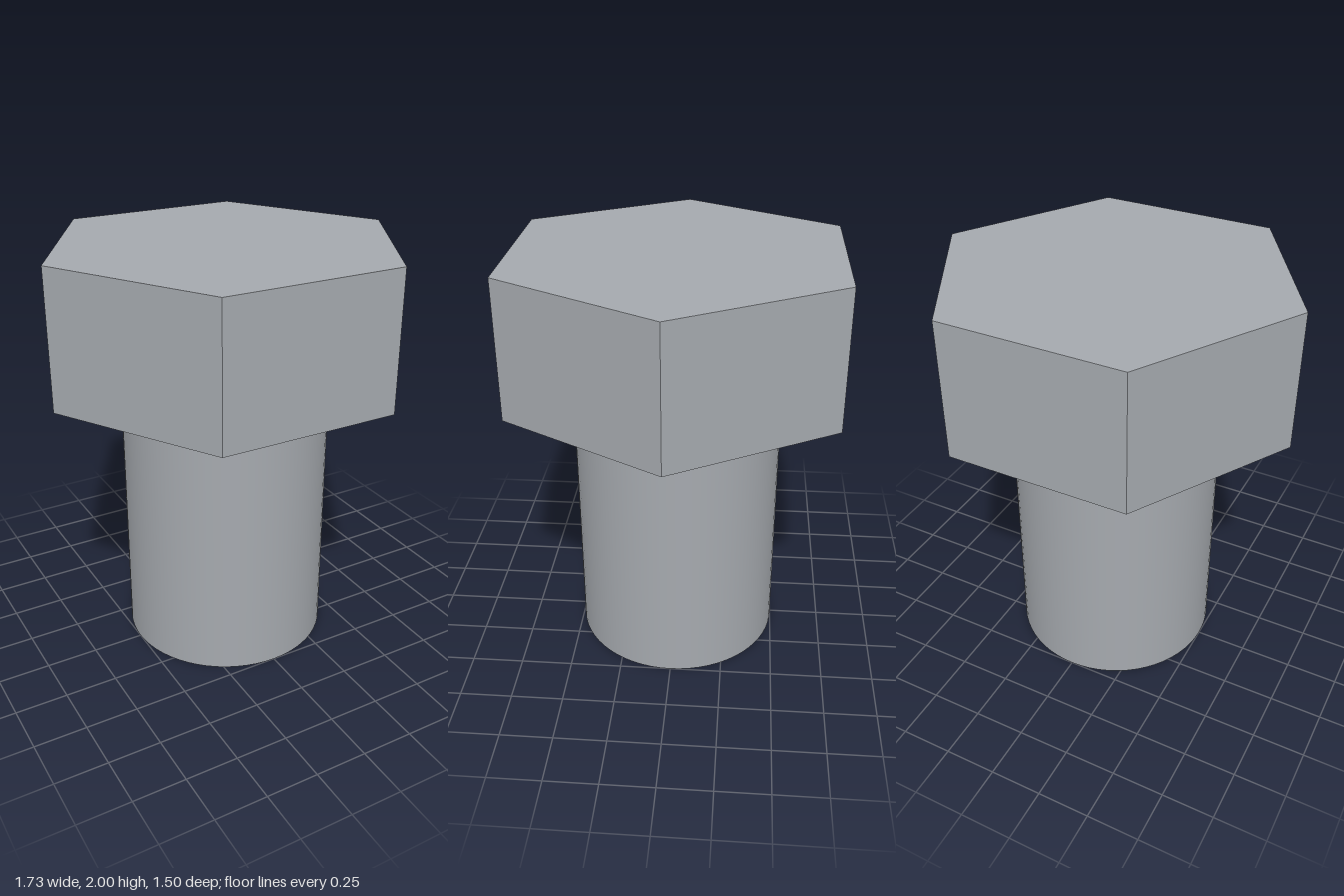
import * as THREE from 'three';

const HEAD_BOTTOM = 1.337;
const TOP = 2;

export function createModel() {
  const model = new THREE.Group();
  model.name = 'hexBolt';

  const steel = new THREE.MeshStandardMaterial({ color: 0xa5a9ae });
  steel.name = 'steel grey';

  // Hexagonal head: corners on the x axis, flats facing front and back
  const hex = new THREE.CylinderGeometry(0.866, 0.866, TOP - HEAD_BOTTOM, 6, 1, false, Math.PI / 6).toNonIndexed();
  hex.computeVertexNormals(); // crisp faces
  const head = new THREE.Mesh(hex, steel);
  head.name = 'head';
  head.position.y = (TOP + HEAD_BOTTOM) / 2;
  model.add(head);

  // Smooth round shank, sunk slightly into the head
  const length = HEAD_BOTTOM + 0.02;
  const shank = new THREE.Mesh(new THREE.CylinderGeometry(0.5, 0.5, length, 64), steel);
  shank.name = 'shank';
  shank.position.y = length / 2;
  model.add(shank);

  return model;
}
